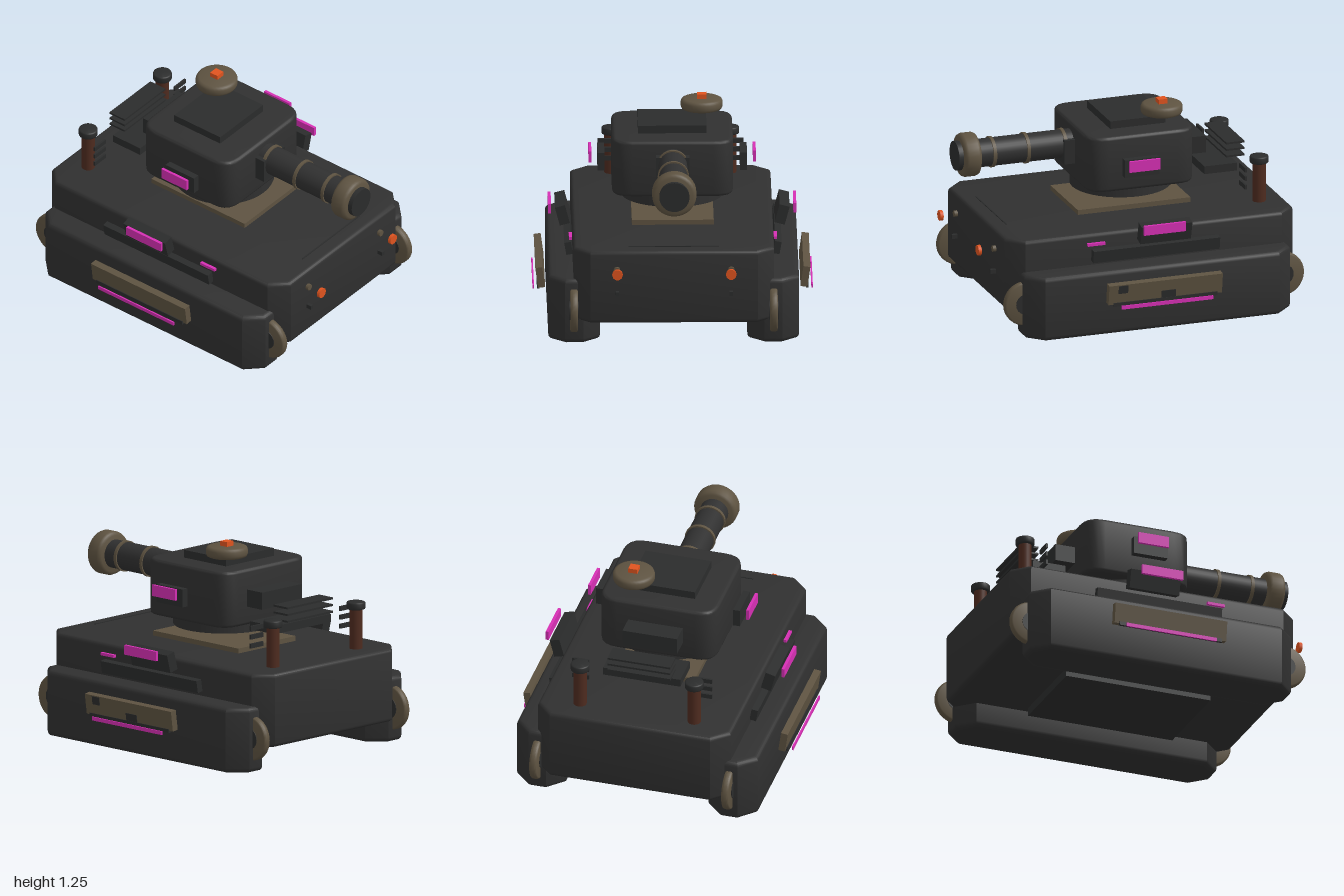
import * as THREE from 'three';
import { toCreasedNormals } from 'three/addons/utils/BufferGeometryUtils.js';

const mat = (name, color) => {
  const m = new THREE.MeshStandardMaterial({ color });
  m.name = name;
  return m;
};

export function createModel() {
  const root = new THREE.Group();
  root.name = 'tank';
  const armour = mat('charcoal armour', 0x303030);
  const detail = mat('dark steel', 0x2b2c2c);
  const tan = mat('khaki metal', 0x5e5341);
  const glow = mat('magenta glow', 0xd62fb4);
  const lamp = mat('orange lamp', 0xe0541f);
  const rust = mat('rusty pipe', 0x4e2b1f);

  const add = (name, geo, material, x = 0, y = 0, z = 0, parent = root) => {
    const m = new THREE.Mesh(geo, material);
    m.name = name;
    m.position.set(x, y, z);
    parent.add(m);
    return m;
  };

  // Box given by its extents on each axis
  const box = (name, material, x0, x1, y0, y1, z0, z1, parent = root) =>
    add(name, new THREE.BoxGeometry(x1 - x0, y1 - y0, z1 - z0), material,
      (x0 + x1) / 2, (y0 + y1) / 2, (z0 + z1) / 2, parent);

  // Bevelled block whose corners are cut in plan
  const block = (name, material, x0, x1, y0, y1, z0, z1, cut, bevel, round = false) => {
    const w = (x1 - x0) / 2, d = (z1 - z0) / 2;
    const s = new THREE.Shape();
    const corner = (cx, cy, x, y) => (round ? s.quadraticCurveTo(cx, cy, x, y) : s.lineTo(x, y));
    s.moveTo(-w + cut, -d);
    s.lineTo(w - cut, -d);
    corner(w, -d, w, -d + cut);
    s.lineTo(w, d - cut);
    corner(w, d, w - cut, d);
    s.lineTo(-w + cut, d);
    corner(-w, d, -w, d - cut);
    s.lineTo(-w, -d + cut);
    corner(-w, -d, -w + cut, -d);
    const h = y1 - y0;
    const g = new THREE.ExtrudeGeometry(s, {
      depth: h - 2 * bevel, bevelEnabled: true, bevelThickness: bevel,
      bevelSize: bevel, bevelOffset: -bevel, bevelSegments: 3, curveSegments: 5,
    });
    g.translate(0, 0, bevel - h / 2).rotateX(-Math.PI / 2);
    return add(name, toCreasedNormals(g, 0.6), material, (x0 + x1) / 2, (y0 + y1) / 2, (z0 + z1) / 2);
  };

  // Disc with softened rims, standing on its axis
  const softDisc = (r, h, b) => {
    const pts = [[0, -h / 2], [r - b, -h / 2], [r - b * 0.3, -h / 2 + b * 0.3], [r, -h / 2 + b],
      [r, h / 2 - b], [r - b * 0.3, h / 2 - b * 0.3], [r - b, h / 2], [0, h / 2]];
    return toCreasedNormals(new THREE.LatheGeometry(pts.map((p) => new THREE.Vector2(...p)), 32), 0.9);
  };
  const alongX = (g) => g.rotateZ(-Math.PI / 2);

  // Hull, belly and deck
  block('hull', armour, -0.965, 0.863, 0.155, 0.605, -0.6, 0.6, 0.1, 0.025);
  box('bellyPlate', detail, -0.52, 0.41, 0.06, 0.11, -0.305, 0.305);
  box('turretBase', tan, -0.41, 0.305, 0.605, 0.635, -0.245, 0.245);
  box('deckSeam', detail, 0.762, 0.77, 0.6, 0.609, -0.27, 0.27);

  // Turret
  add('turretRing', new THREE.CylinderGeometry(0.305, 0.305, 0.07, 40), armour, -0.052, 0.735, 0);
  block('turret', armour, -0.41, 0.27, 0.767, 1.11, -0.362, 0.362, 0.12, 0.02, true);
  box('roofPlate', detail, -0.267, 0.085, 1.11, 1.157, -0.205, 0.205);
  add('cupola', softDisc(0.126, 0.066, 0.02), tan, -0.25, 1.198, -0.18);
  box('cupolaLamp', lamp, -0.278, -0.222, 1.231, 1.26, -0.208, -0.152);
  box('turretBustle', detail, -0.535, -0.4, 0.88, 0.985, -0.17, 0.17);

  // Gun
  const gunY = 0.98;
  box('mantlet', detail, 0.265, 0.338, 0.88, 1.03, -0.1, 0.1);
  add('barrel', alongX(new THREE.CylinderGeometry(0.086, 0.086, 0.62, 32)), armour, 0.57, gunY, 0);
  for (const x of [0.322, 0.557, 0.772]) {
    add('barrelBand', alongX(new THREE.CylinderGeometry(0.094, 0.094, 0.02, 32)), tan, x, gunY, 0);
  }
  add('muzzleBrake', alongX(softDisc(0.133, 0.106, 0.022)), tan, 0.918, gunY, 0);
  add('muzzleBore', alongX(new THREE.CylinderGeometry(0.09, 0.09, 0.05, 32)), detail, 0.975, gunY, 0);

  // Rear cooling unit
  box('radiator', detail, -0.708, -0.5, 0.768, 0.817, -0.24, 0.24);
  for (const y of [0.847, 0.888, 0.929]) {
    box('coolingFin', detail, -0.77, -0.655, y - 0.006, y + 0.006, -0.195, 0.195);
  }

  for (const s of [1, -1]) {
    // Box on one side, measured outward from the middle
    const side = (name, material, x0, x1, y0, y1, z0, z1) =>
      s > 0 ? box(name, material, x0, x1, y0, y1, z0, z1) : box(name, material, x0, x1, y0, y1, -z1, -z0);
    // Side panel leaning outward at the top
    const leaning = (name, material, x0, x1, y, z, h, d, lean) => {
      const m = add(name, new THREE.BoxGeometry(x1 - x0, h, d), material, (x0 + x1) / 2, y, s * z);
      m.rotation.x = s * lean;
      return m;
    };

    // Track pods and wheels
    block('trackPod', armour, -0.897, 0.79, 0.01, 0.41, s * 0.595 - 0.155, s * 0.595 + 0.155, 0.1, 0.03);
    for (const x of [-0.865, 0.765]) {
      add('wheel', softDisc(0.136, 0.046, 0.012).rotateX(Math.PI / 2), tan, x, 0.215, s * 0.597);
      add('wheelHub', new THREE.CylinderGeometry(0.065, 0.065, 0.054, 20).rotateX(Math.PI / 2),
        detail, x, 0.215, s * 0.597);
    }

    // Turret side sights
    side('sightHousing', detail, -0.14, 0.078, 0.877, 0.987, 0.405, 0.447);
    side('sightWindow', glow, -0.13, 0.065, 0.925, 0.993, 0.483, 0.5);

    // Hull side armour and lights
    leaning('sideRail', detail, -0.455, 0.347, 0.472, 0.624, 0.076, 0.04, 0.17);
    leaning('viewportHousing', detail, -0.26, 0.06, 0.593, 0.657, 0.115, 0.062, 0.26);
    side('viewport', glow, -0.205, 0.06, 0.605, 0.663, 0.724, 0.742);
    side('markerLight', glow, 0.265, 0.375, 0.533, 0.55, 0.603, 0.622);
    const skirt = leaning('skirtPlate', tan, -0.41, 0.31, 0.28, 0.793, 0.125, 0.042, 0.14);
    if (s < 0) {
      // Dark paint patches on this skirt only
      for (const [x, y, w] of [[0.27, 0.032, 0.06], [-0.02, -0.03, 0.09]]) {
        add('paintPatch', new THREE.BoxGeometry(w, 0.05, 0.004), detail, x, y, -0.022, skirt);
      }
    }
    side('lightStripMount', detail, -0.38, 0.28, 0.203, 0.226, 0.797, 0.812);
    side('lightStrip', glow, -0.345, 0.235, 0.19, 0.212, 0.829, 0.838);

    // Headlights and tow hooks
    add('headlight', alongX(new THREE.CylinderGeometry(0.032, 0.032, 0.02, 10)), lamp, 0.968, 0.49, s * 0.34);
    add('headlightSocket', alongX(new THREE.CylinderGeometry(0.02, 0.02, 0.03, 8)), tan, 0.868, 0.49, s * 0.342);
    side('towHook', detail, 0.85, 0.897, 0.335, 0.36, 0.33, 0.352);

    // Exhausts and rear slats
    add('exhaustPipe', new THREE.CylinderGeometry(0.04, 0.04, 0.26, 20), rust, -0.806, 0.73, s * 0.355);
    add('exhaustCap', softDisc(0.057, 0.045, 0.008), detail, -0.806, 0.868, s * 0.355);
    for (const y of [0.833, 0.78, 0.725]) {
      side('rearSlat', detail, -0.702, -0.689, y - 0.014, y + 0.014, 0.33, 0.435);
    }
  }
  return root;
}
